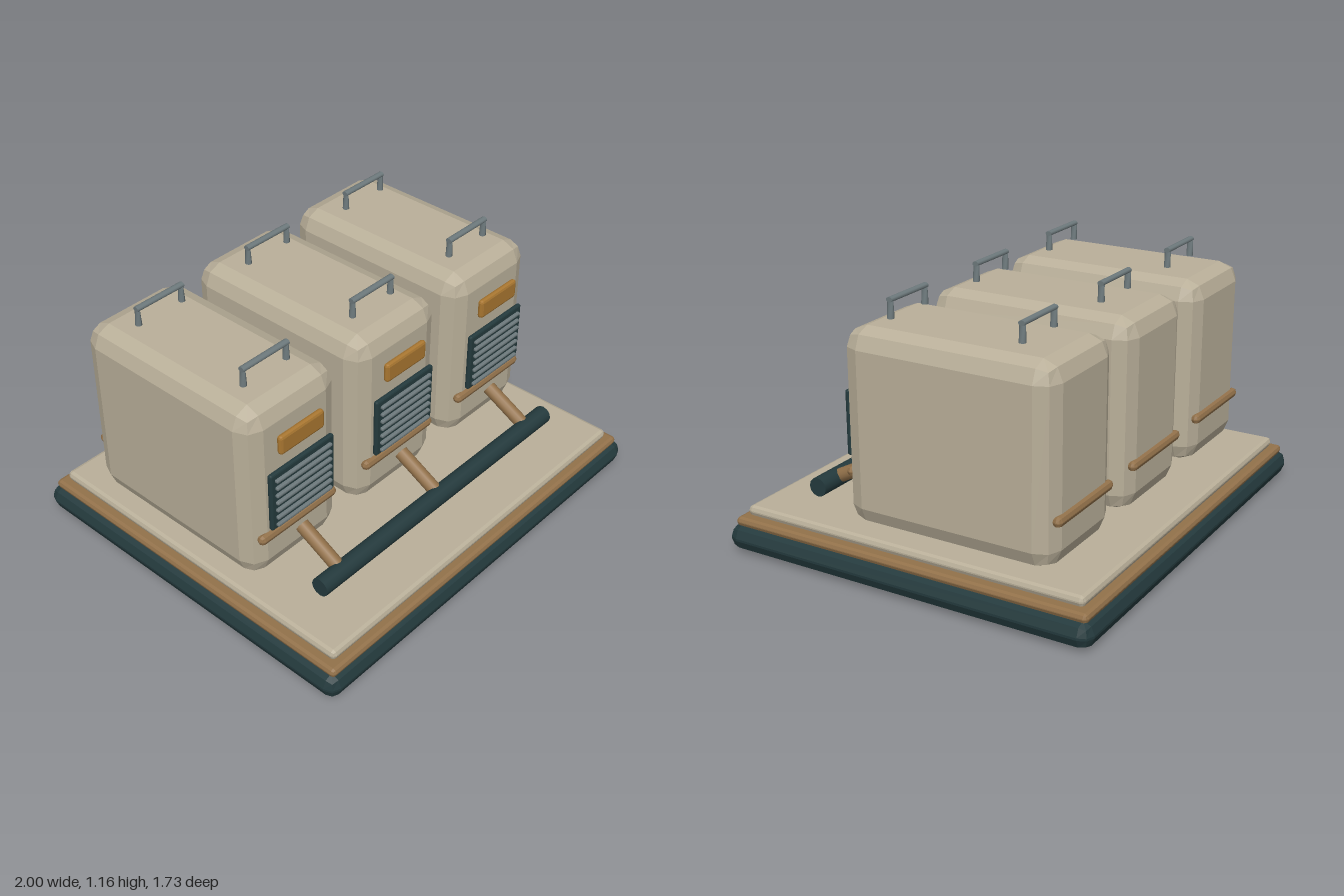
import * as THREE from 'three';
import { RoundedBoxGeometry } from 'three/addons/geometries/RoundedBoxGeometry.js';

const paint = (name, color) => {
  const m = new THREE.MeshStandardMaterial({ color });
  m.name = name;
  return m;
};

export function createModel() {
  const cream = paint('cream', 0xb9af99);
  const slate = paint('dark slate', 0x243a3d);
  const brass = paint('brass', 0x92714a);
  const amber = paint('amber', 0xa87630);
  const steel = paint('steel', 0x6d797c);

  const model = new THREE.Group();
  model.name = 'tankPlatform';

  const add = (parent, name, geometry, material, x, y, z) => {
    const mesh = new THREE.Mesh(geometry, material);
    mesh.name = name;
    mesh.position.set(x, y, z);
    parent.add(mesh);
    return mesh;
  };

  // Chamfered box with two flat facets along every edge
  const block = (w, h, d, r) => {
    const g = new RoundedBoxGeometry(w, h, d, 1, r);
    g.computeVertexNormals();
    return g;
  };

  // Stepped base
  add(model, 'baseSlab', block(2, 0.11, 1.725, 0.05), slate, 0, 0.065, 0);
  add(model, 'baseTrim', block(1.936, 0.04, 1.676, 0.018), brass, 0, 0.132, 0);
  add(model, 'baseDeck', block(1.856, 0.046, 1.605, 0.02), cream, 0, 0.174, 0);
  for (const x of [-0.78, 0.78]) {
    for (const z of [-0.64, 0.64]) {
      add(model, 'foot', new THREE.CylinderGeometry(0.107, 0.107, 0.02, 24), steel, x, 0.01, z);
    }
  }

  // Handle leg: round at the foot, pinched across x where it meets the grip
  const legGeometry = new THREE.CylinderGeometry(0.015, 0.015, 0.072, 10);
  const p = legGeometry.attributes.position;
  for (let i = 0; i < p.count; i++) if (p.getY(i) > 0) p.setX(i, p.getX(i) * 0.4);
  legGeometry.computeVertexNormals();

  const gripGeometry = new THREE.CylinderGeometry(0.015, 0.015, 0.25, 10)
    .rotateZ(Math.PI / 2).scale(1, 0.75, 1);

  const makeHandle = () => {
    const handle = new THREE.Group();
    handle.name = 'handle';
    add(handle, 'handleGrip', gripGeometry, steel, 0, 0.077, 0);
    for (const x of [-0.117, 0.117]) add(handle, 'handleLeg', legGeometry, steel, x, 0.036, 0);
    return handle;
  };

  // Three identical tanks with their fittings
  const tankGeometry = block(0.512, 0.836, 0.957, 0.083);
  const plateGeometry = block(0.245, 0.088, 0.028, 0.012);
  const grilleGeometry = block(0.36, 0.282, 0.022, 0.008);
  const slatGeometry = block(0.315, 0.015, 0.022, 0.005);
  const barGeometry = block(0.442, 0.044, 0.042, 0.02);

  // Feed pipe slopes from the manifold up towards the tank
  const pipeStart = new THREE.Vector3(0, 0.268, 0.565);
  const pipeEnd = new THREE.Vector3(0, 0.382, 0.347);
  const pipeDirection = pipeEnd.clone().sub(pipeStart);
  const pipeGeometry = new THREE.CylinderGeometry(0.031, 0.031, pipeDirection.length(), 14);
  const pipeMiddle = pipeStart.clone().add(pipeEnd).multiplyScalar(0.5);

  for (const x of [-0.62, 0, 0.62]) {
    const tank = new THREE.Group();
    tank.name = 'tank';
    tank.position.x = x;
    model.add(tank);

    add(tank, 'tankBody', tankGeometry, cream, 0, 0.628, -0.155);
    add(tank, 'namePlate', plateGeometry, amber, 0, 0.873, 0.352);
    add(tank, 'grille', grilleGeometry, slate, 0, 0.616, 0.35);
    for (let i = 0; i < 7; i++) {
      add(tank, 'grilleSlat', slatGeometry, steel, 0, 0.498 + i * 0.0375, 0.364);
    }
    for (const z of [0.323, -0.632]) add(tank, 'brassBar', barGeometry, brass, 0, 0.422, z);

    for (const z of [0.167, -0.429]) {
      const handle = makeHandle();
      handle.position.set(0, 1.068, z);
      tank.add(handle);
    }

    const pipe = add(tank, 'feedPipe', pipeGeometry, brass, 0, pipeMiddle.y, pipeMiddle.z);
    pipe.quaternion.setFromUnitVectors(new THREE.Vector3(0, 1, 0), pipeDirection.clone().normalize());
  }

  // Manifold pipe across the front
  add(model, 'manifold', new THREE.CylinderGeometry(0.042, 0.042, 1.5, 12).rotateZ(Math.PI / 2),
    slate, 0, 0.267, 0.565);

  return model;
}
